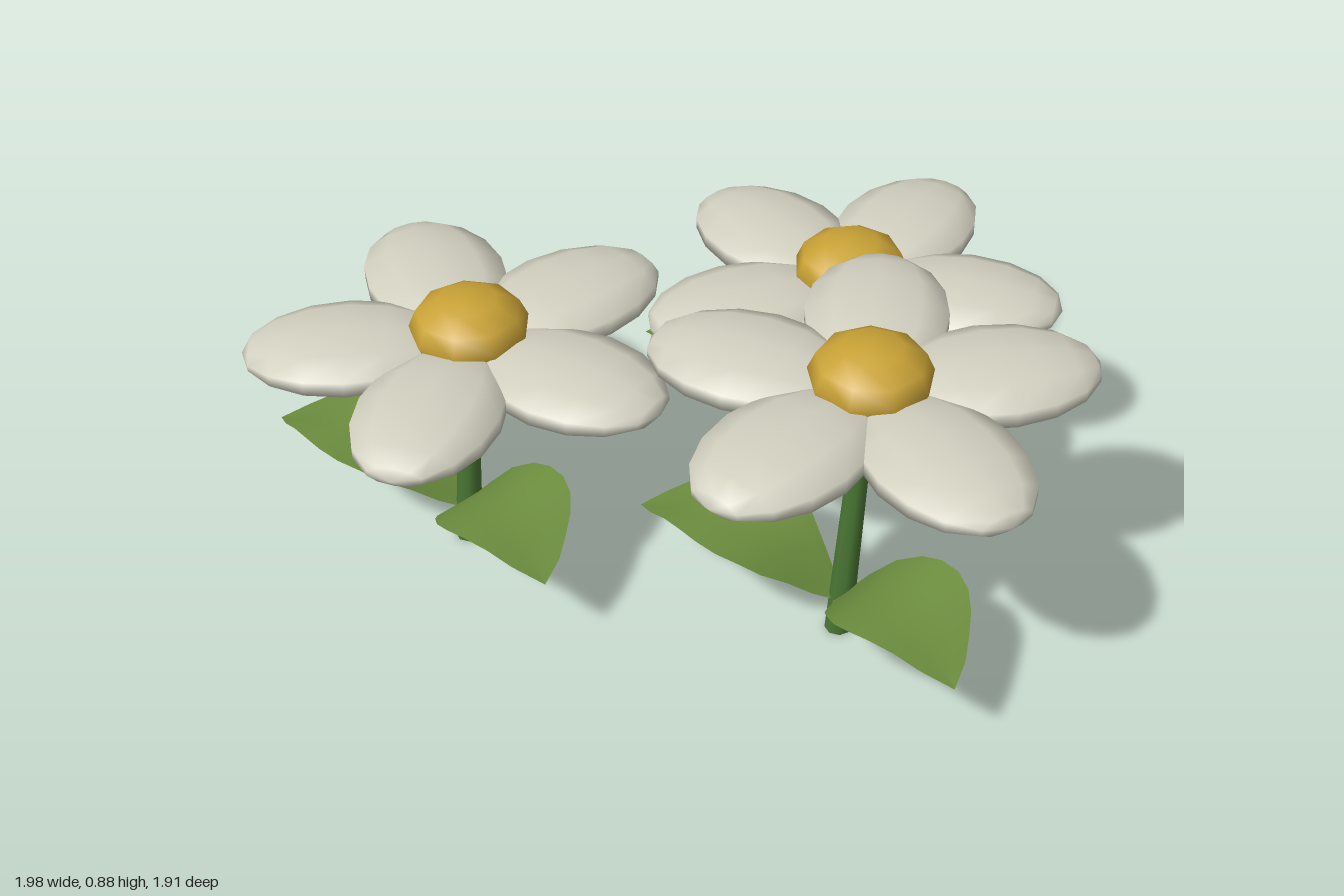
import * as THREE from 'three';

const mat = (color, side = THREE.FrontSide) => new THREE.MeshStandardMaterial({ color, side });
const white = mat(0xd2d0c0);
const yellow = mat(0xc9a236);
const stemGreen = mat(0x4c7a35);
const leafGreen = mat(0x6f9140, THREE.DoubleSide);

function part(name, geometry, material) {
  const mesh = new THREE.Mesh(geometry, material);
  mesh.name = name;
  return mesh;
}

// Smooth interpolation through a few [x, y] points
function curve(points) {
  const spline = new THREE.SplineCurve(points.map(p => new THREE.Vector2(...p)));
  const samples = spline.getPoints(80);
  return x => {
    const i = samples.findIndex(s => s.x >= x);
    if (i < 0) return samples[samples.length - 1].y;
    if (i === 0) return samples[0].y;
    const a = samples[i - 1], b = samples[i];
    return a.y + (b.y - a.y) * (x - a.x) / (b.x - a.x);
  };
}

// Leaf: a pointed sheet swept forward in plan, arching over as it leaves the stem
function leafGeometry(side) {
  const halfWidth = curve([[0, 0.015], [0.15, 0.07], [0.3, 0.13], [0.5, 0.165], [0.65, 0.15], [0.8, 0.1], [0.92, 0.05], [1, 0]]);
  const height = curve([[-0.1, 0.09], [0, 0.1], [0.06, 0.18], [0.14, 0.265], [0.245, 0.312], [0.35, 0.3], [0.48, 0.235]]);
  const rows = 10, cols = 4;
  const geo = new THREE.PlaneGeometry(1, 1, cols, rows);
  const pos = geo.attributes.position;
  for (let i = 0; i < pos.count; i++) {
    const t = pos.getY(i) + 0.5;
    const s = pos.getX(i) * 2;
    const w = halfWidth(t) * s;
    const x = 0.48 * t - 0.36 * w;
    const z = 0.185 * t + 0.93 * w;
    const fold = 0.015 * (1 - Math.abs(s)) * Math.sin(Math.PI * t);
    pos.setXYZ(i, side * x, height(x) - fold, z);
  }
  // keep the upper face outward on both mirrored leaves
  if (side < 0) {
    const idx = geo.index.array;
    for (let i = 0; i < idx.length; i += 3) [idx[i], idx[i + 1]] = [idx[i + 1], idx[i]];
  }
  geo.computeVertexNormals();
  return geo;
}

// Petal: a long flattened ellipsoid pointing along +x
const petalGeometry = new THREE.SphereGeometry(1, 10, 8)
  .rotateZ(-Math.PI / 2)
  .scale(0.25, 0.063, 0.178)
  .translate(0.29, 0, 0);

const diskGeometry = new THREE.SphereGeometry(1, 9, 6).scale(0.145, 0.09, 0.145);
const leaves = { leftLeaf: leafGeometry(1), rightLeaf: leafGeometry(-1) };

function createFlower({ x, z, headY, phase }) {
  const flower = new THREE.Group();
  flower.name = 'flower';
  flower.position.set(x, 0, z);
  const lean = 0.06;

  // Tapered leaning stem
  const stem = new THREE.CylinderGeometry(0.023, 0.034, headY, 8, 4).translate(0, headY / 2, 0);
  const pos = stem.attributes.position;
  for (let i = 0; i < pos.count; i++) pos.setX(i, pos.getX(i) + lean * pos.getY(i) / headY);
  stem.computeVertexNormals();
  flower.add(part('stem', stem, stemGreen));

  // Pair of leaves
  for (const [name, geo] of Object.entries(leaves)) flower.add(part(name, geo, leafGreen));

  // Five petals around a domed centre
  const head = new THREE.Group();
  head.name = 'flowerHead';
  head.position.set(lean, headY, -0.01);
  for (let i = 0; i < 5; i++) {
    const petal = part('petal', petalGeometry, white);
    petal.rotation.y = THREE.MathUtils.degToRad(phase + i * 72);
    head.add(petal);
  }
  const disk = part('flowerCentre', diskGeometry, yellow);
  disk.position.y = 0.048;
  disk.rotation.y = THREE.MathUtils.degToRad(phase);
  head.add(disk);
  flower.add(head);
  return flower;
}

export function createModel() {
  const group = new THREE.Group();
  group.name = 'flowers';
  const flowers = [
    { x: -0.52, z: 0.467, headY: 0.627, phase: 82 },
    { x: 0.407, z: 0.108, headY: 0.741, phase: 270 },
    { x: -0.08, z: -0.423, headY: 0.541, phase: 100 },
  ];
  for (const f of flowers) group.add(createFlower(f));
  return group;
}
